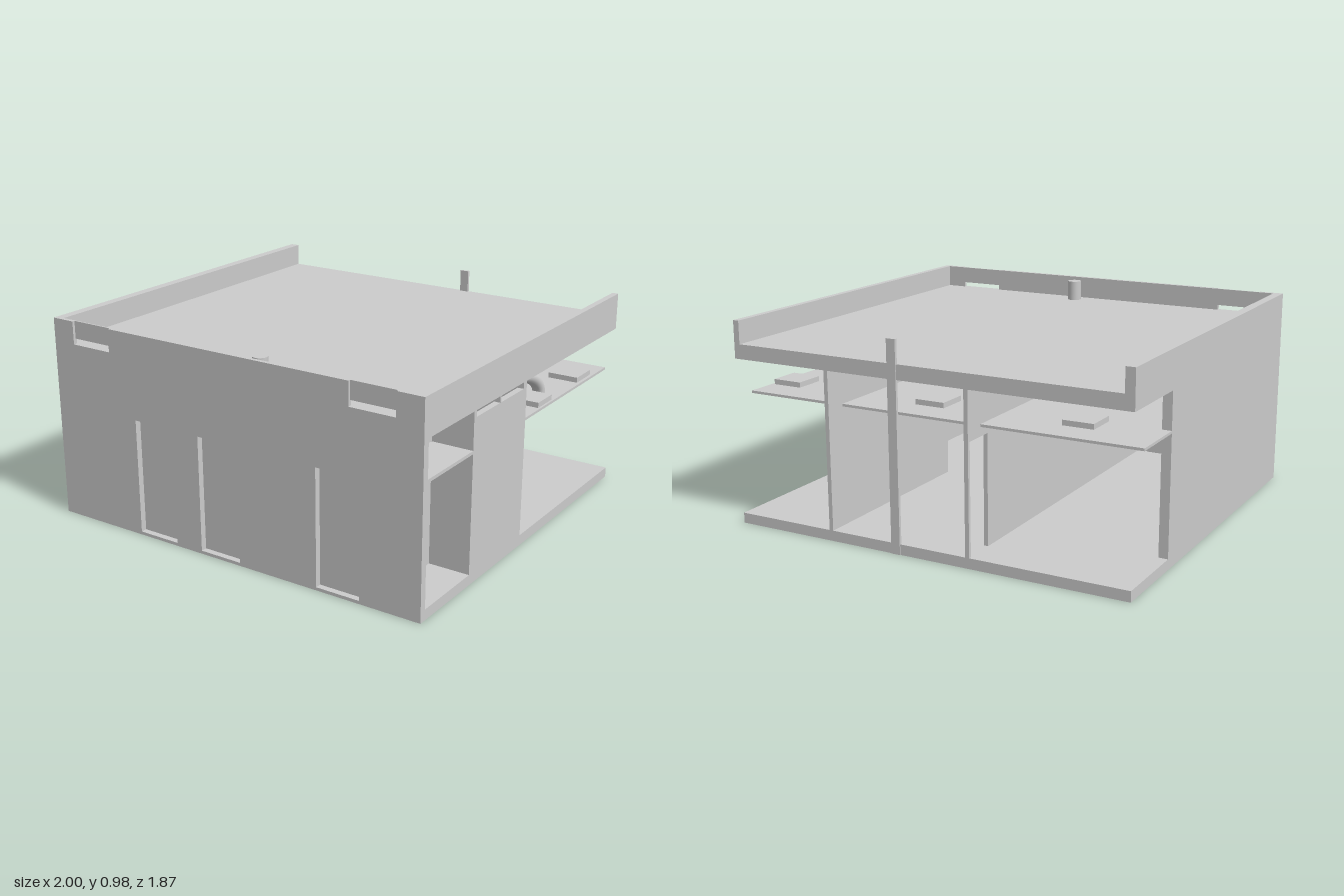
import * as THREE from 'three';

export function createModel() {
  const house = new THREE.Group();
  house.name = 'house';
  const mat = new THREE.MeshStandardMaterial({ color: 0xcccccc, flatShading: true });
  const smooth = new THREE.MeshStandardMaterial({ color: 0xcccccc, side: THREE.DoubleSide });

  const add = (name, geo, m = mat) => {
    const mesh = new THREE.Mesh(geo, m);
    mesh.name = name;
    house.add(mesh);
    return mesh;
  };
  // Box given by its limits on each axis
  const box = (name, x0, x1, y0, y1, z0, z1) =>
    add(name, new THREE.BoxGeometry(x1 - x0, y1 - y0, z1 - z0)
      .translate((x0 + x1) / 2, (y0 + y1) / 2, (z0 + z1) / 2));
  const polygon = (pts, Type = THREE.Shape) => new Type(pts.map(p => new THREE.Vector2(...p)));
  const rect = (x0, x1, y0, y1) => [[x0, y0], [x1, y0], [x1, y1], [x0, y1]];

  const BACK = -0.935, FRONT = 0.935;
  const FLOOR = 0.05, CEILING = 0.8, ROOF = 0.87, TOP = 0.98;

  // Floor and roof slabs
  box('floorSlab', -1, 1, 0, FLOOR, BACK, 0.9);
  box('roofSlab', -1, 1, CEILING, ROOF, BACK, 0.9);

  // Front wall with three door openings and recessed doors
  const doors = [[-0.52, -0.3], [-0.155, 0.065], [0.48, 0.7]];
  const front = polygon(rect(-1, 1, 0, ROOF));
  doors.forEach(([a, b]) => {
    front.holes.push(polygon(rect(a, b, 0.015, 0.57), THREE.Path));
    box('door', a, b, 0.015, 0.57, 0.895, 0.905);
  });
  add('frontWall', new THREE.ExtrudeGeometry(front, { depth: FRONT - 0.9, bevelEnabled: false })
    .translate(0, 0, 0.9));

  // Front parapet, notched for the two roof drains
  const notches = [[-0.88, -0.66], [0.645, 0.87]];
  const edges = [-1, ...notches.flat(), 1];
  for (let i = 0; i < edges.length; i += 2)
    box('frontParapet', edges[i], edges[i + 1], ROOF, TOP, 0.915, FRONT);
  notches.forEach(([a, b]) => box('drainPlate', a, b, 0.895, TOP, 0.915, 0.922));

  // Side parapets
  box('rightParapet', -1, -0.955, ROOF, TOP, BACK, 0.915);
  box('leftParapet', 0.97, 1, ROOF, TOP, BACK, 0.915);

  // Solid side wall on the model's right
  box('rightWall', -1, -0.955, FLOOR, CEILING, -0.54, 0.9);

  // Side wall on the model's left, with two slit windows under the roof
  box('leftWall', 0.97, 1, FLOOR, 0.77, 0.05, 0.53);
  [[0.05, 0.08], [0.29, 0.3], [0.51, 0.53]].forEach(([a, b]) =>
    box('windowMullion', 0.97, 1, 0.77, CEILING, a, b));

  // Front corner alcove with its shelf
  box('alcoveSideWall', 0.8, 0.97, FLOOR, CEILING, 0.51, 0.53);
  box('alcoveRearWall', 0.78, 0.8, FLOOR, CEILING, 0.51, 0.9);
  box('alcoveShelf', 0.8, 1, 0.61, 0.625, 0.53, 0.9);

  // Room partitions
  box('crossWall', 0.5, 0.97, FLOOR, CEILING, 0.05, 0.07);
  box('leftPartition', 0.48, 0.5, FLOOR, CEILING, BACK, 0.07);
  // Partition with a doorway at its rear end
  const PX = -0.24;
  box('rightPartition', PX, PX + 0.02, FLOOR, CEILING, -0.77, 0.9);
  box('doorwayLintel', PX, PX + 0.02, 0.57, CEILING, BACK, -0.77);
  box('doorwayJamb', PX, PX + 0.02, FLOOR, 0.57, BACK, -0.92);

  // Hanging ceilings in the three rear rooms, each with a fixture on top
  const rooms = [[0.5, 1, 0.91], [PX + 0.02, 0.48, 0.11], [-1, PX, -0.63]];
  rooms.forEach(([a, b, cx]) => {
    box('hangingCeiling', Math.max(a, -0.955), b, 0.613, 0.625, -0.54, 0.05);
    box('hangingCeilingRear', a, b, 0.613, 0.625, -0.83, -0.54);
    box('ceilingFixture', cx - 0.075, cx + 0.075, 0.625, 0.65, -0.68, -0.53);
  });
  box('ceilingFixture', 0.84, 0.99, 0.625, 0.65, -0.24, -0.1);

  // Bent ventilation duct
  const path = new THREE.CatmullRomCurve3([
    [0.76, -0.065], [0.752, -0.12], [0.727, -0.2], [0.69, -0.265], [0.65, -0.302], [0.62, -0.312],
  ].map(([y, z]) => new THREE.Vector3(0.89, y, z)));
  add('ventDuct', new THREE.TubeGeometry(path, 24, 0.03, 20), smooth);

  // Wall socket, rear downpipe and roof vent
  box('wallSocket', 0.5, 0.51, 0.11, 0.14, -0.395, -0.38);
  box('rearPost', 0.115, 0.16, 0, TOP, BACK - 0.004, BACK + 0.01);
  add('roofVent', new THREE.CylinderGeometry(0.035, 0.035, 0.11, 32),
    new THREE.MeshStandardMaterial({ color: 0xcccccc })).position.set(0.135, 0.915, 0.845);

  return house;
}
